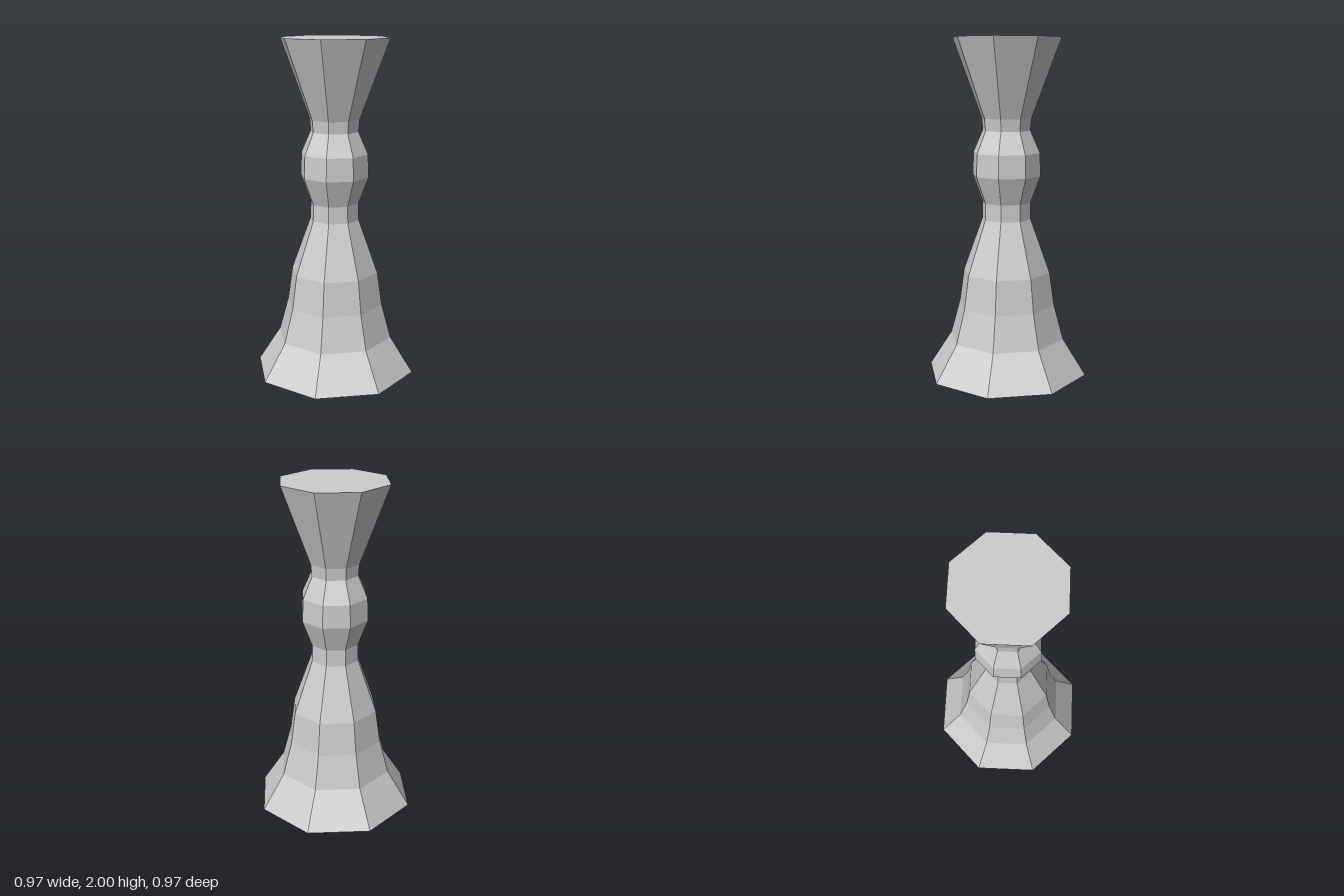
import * as THREE from 'three';

export function createModel() {
  const group = new THREE.Group();
  group.name = 'pedestal';

  // Profile from the bottom centre to the top centre: [radius, height]
  const profile = [
    [0, 0], [0.485, 0],            // flared foot
    [0.348, 0.215], [0.292, 0.42], [0.263, 0.62], // bell
    [0.147, 0.94], [0.145, 1.04],  // lower neck
    [0.205, 1.2], [0.2, 1.335],    // knop
    [0.143, 1.465], [0.149, 1.535], // upper neck
    [0.323, 2], [0, 2],            // flared flat top
  ].map(([r, y]) => new THREE.Vector2(r, y));

  // Eight-sided turned body with closed ends
  const material = new THREE.MeshStandardMaterial({ color: 0xcccccc, flatShading: true });
  const body = new THREE.Mesh(new THREE.LatheGeometry(profile, 8), material);
  body.name = 'turnedBody';
  group.add(body);

  return group;
}
